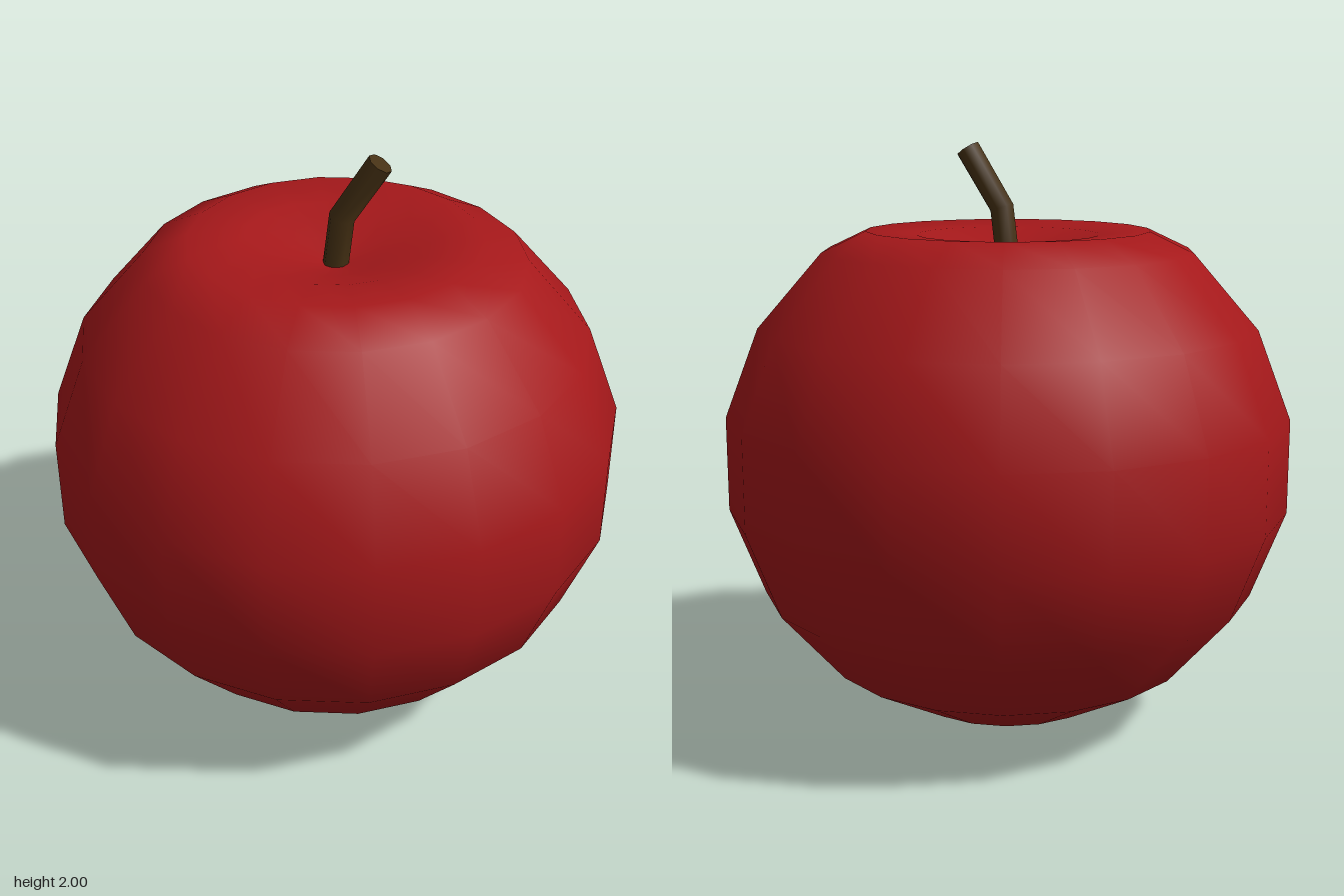
import * as THREE from 'three';

// Rounded fruit body: one turned profile with a dimple at the top
function makeBody() {
  const profile = [
    [0, 0], [0.335, 0.06], [0.63, 0.22], [0.848, 0.47], [0.963, 0.77],
    [0.963, 1.09], [0.848, 1.39], [0.63, 1.64], [0.482, 1.71],
    [0.31, 1.695], [0.15, 1.645], [0, 1.61],
  ].map(([r, y]) => new THREE.Vector2(r, y));
  const body = new THREE.Mesh(
    new THREE.LatheGeometry(profile, 18),
    new THREE.MeshStandardMaterial({ color: 0xa5181a })
  );
  body.name = 'fruitBody';
  return body;
}

// Bent stem: a capped cylinder whose three rings follow a kinked path
function makeStem() {
  const rings = [
    { x: 0, y: 1.6, tilt: 0.1 },
    { x: 0.022, y: 1.783, tilt: 0.3 },
    { x: 0.145, y: 1.977, tilt: 0.57 },
  ];
  const geometry = new THREE.CylinderGeometry(0.043, 0.043, 2, 8, 2);
  const pos = geometry.attributes.position;
  for (let i = 0; i < pos.count; i++) {
    const { x, y, tilt } = rings[Math.round(pos.getY(i) + 1)];
    const px = pos.getX(i);
    pos.setXY(i, x + px * Math.cos(tilt), y - px * Math.sin(tilt));
  }
  // Lean the cylinder's own smooth normals with the rings
  const nor = geometry.attributes.normal;
  for (let i = 0; i < nor.count; i++) {
    const nearest = rings.reduce((a, b) =>
      Math.abs(b.y - pos.getY(i)) < Math.abs(a.y - pos.getY(i)) ? b : a);
    const c = Math.cos(nearest.tilt), s = Math.sin(nearest.tilt);
    const nx = nor.getX(i), ny = nor.getY(i);
    nor.setXY(i, nx * c + ny * s, ny * c - nx * s);
  }
  const stem = new THREE.Mesh(
    geometry,
    new THREE.MeshStandardMaterial({ color: 0x463114 })
  );
  stem.name = 'stem';
  return stem;
}

export function createModel() {
  const model = new THREE.Group();
  model.name = 'apple';
  model.add(makeBody(), makeStem());
  return model;
}
